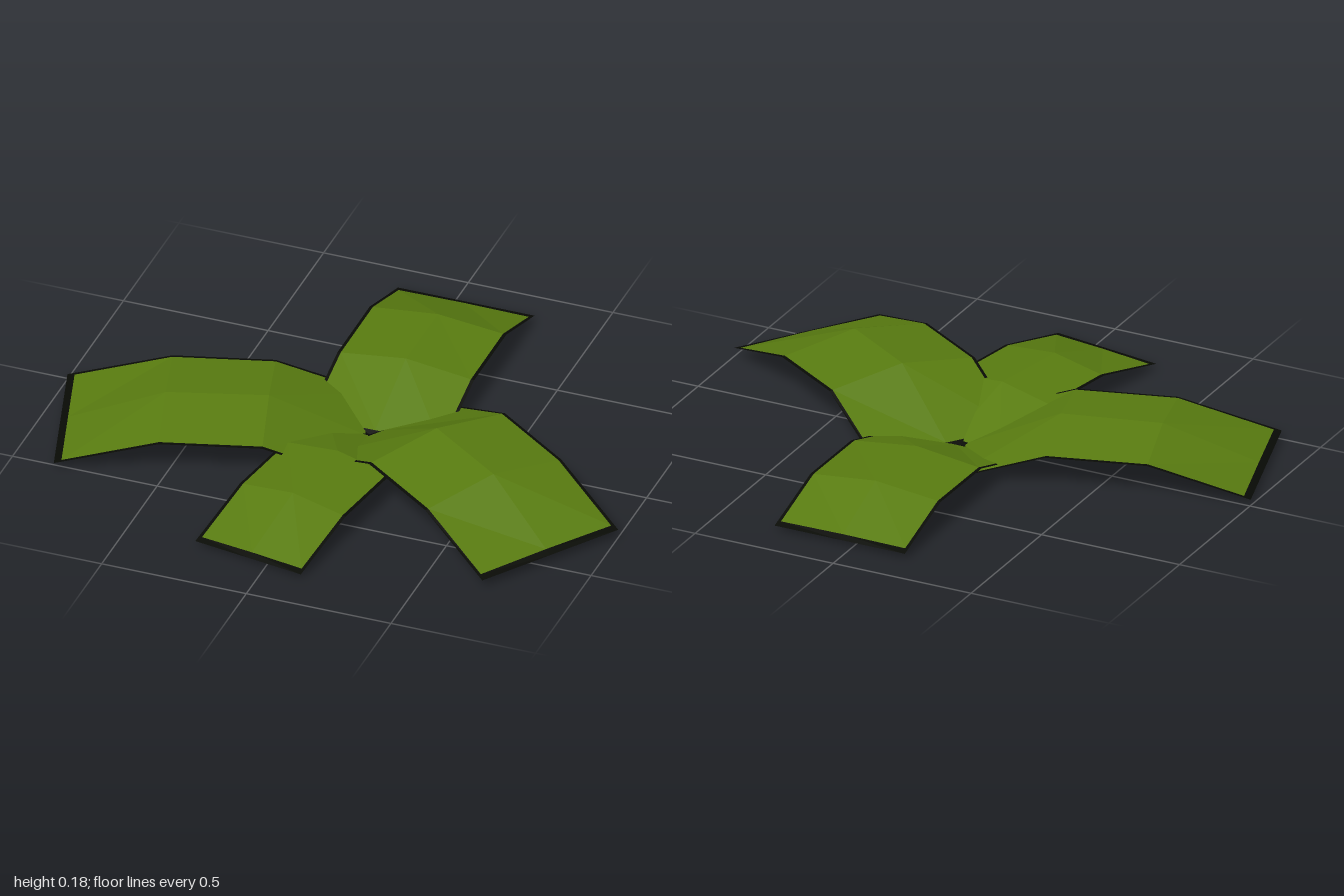
import * as THREE from 'three';

const green = new THREE.MeshStandardMaterial({ color: 0x587b10, side: THREE.DoubleSide, flatShading: true });
green.name = 'leaf green';
const dark = new THREE.MeshStandardMaterial({ color: 0x080a05, side: THREE.DoubleSide, flatShading: true });
dark.name = 'dark rim';

// Each leaf: base point, outward direction, width, and rows of [distance, edge height, midrib height]
const LEAVES = [
  { name: 'leftLeaf', base: [0.055, -0.065], dir: [0.826, 0.563], width: 0.534,
    rows: [[0, 0.005, 0.005], [0.32, 0.14, 0.18], [0.64, 0.13, 0.172], [0.962, 0.03, 0.03]] },
  { name: 'rightLeaf', base: [0.045, -0.02], dir: [-0.96, 0.28], width: 0.536,
    rows: [[0, 0, 0], [0.335, 0.11, 0.145], [0.67, 0.11, 0.14], [1.01, 0.02, 0.02]] },
  { name: 'backLeaf', base: [0.045, -0.02], dir: [0, -1], width: 0.472,
    rows: [[0, 0.005, 0.005], [0.3, 0.095, 0.125], [0.59, 0.097, 0.122], [0.845, 0.018, 0.018]] },
  { name: 'frontLeaf', base: [0.08, -0.025], dir: [-0.165, 0.987], width: 0.395,
    rows: [[0, 0.005, 0.005], [0.29, 0.085, 0.115], [0.575, 0.083, 0.11], [0.86, 0.018, 0.018]] },
];
const SIDE_RIM = 0.011, END_RIM = 0.024;

// Point on the bent sheet, s across and t along
function sheetPoint(rows, width, s, t) {
  let i = 0;
  while (i < rows.length - 2 && t > rows[i + 1][0]) i++;
  const k = (t - rows[i][0]) / (rows[i + 1][0] - rows[i][0]);
  const edge = THREE.MathUtils.lerp(rows[i][1], rows[i + 1][1], k);
  const mid = THREE.MathUtils.lerp(rows[i][2], rows[i + 1][2], k);
  return [s, THREE.MathUtils.lerp(mid, edge, Math.abs(s) / (width / 2)), t];
}

// Sheet with a dark rim on all four sides
function makeLeaf({ name, base, dir, width, rows }) {
  const h = width / 2, length = rows[3][0];
  const across = [-h, -h + SIDE_RIM, 0, h - SIDE_RIM, h];
  const along = [0, END_RIM, rows[1][0], rows[2][0], length - END_RIM, length];
  const blade = [], rim = [];
  for (let j = 0; j < along.length - 1; j++) {
    for (let i = 0; i < across.length - 1; i++) {
      const inRim = i === 0 || i === across.length - 2 || j === 0 || j === along.length - 2;
      const at = (a, b) => sheetPoint(rows, width, across[i + a], along[j + b]);
      const a = at(0, 0), b = at(0, 1), c = at(1, 1), d = at(1, 0);
      (inRim ? rim : blade).push(...a, ...b, ...c, ...a, ...c, ...d);
    }
  }
  const leaf = new THREE.Group();
  leaf.name = name;
  for (const [part, points, material] of [['Blade', blade, green], ['Rim', rim, dark]]) {
    const geometry = new THREE.BufferGeometry();
    geometry.setAttribute('position', new THREE.Float32BufferAttribute(points, 3));
    geometry.computeVertexNormals();
    const mesh = new THREE.Mesh(geometry, material);
    mesh.name = name + part;
    leaf.add(mesh);
  }
  leaf.position.set(base[0], 0, base[1]);
  leaf.rotation.y = Math.atan2(dir[0], dir[1]);
  return leaf;
}

export function createModel() {
  const plant = new THREE.Group();
  plant.name = 'leafyPlant';
  LEAVES.forEach((leaf) => plant.add(makeLeaf(leaf)));
  return plant;
}
